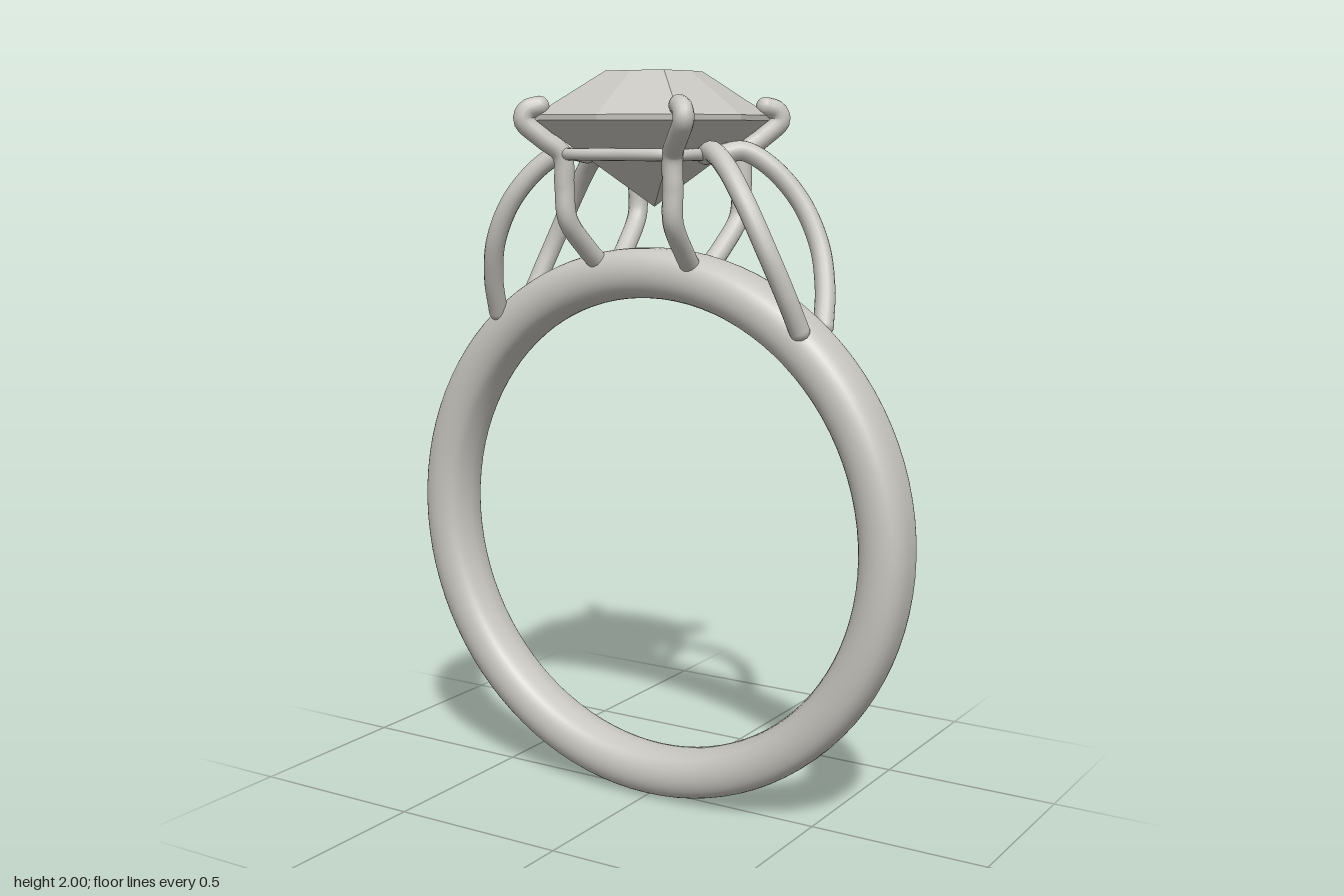
import * as THREE from 'three';

const metal = new THREE.MeshStandardMaterial({ color: 0xc8c6c0 });
metal.name = 'silver grey';

const v = (x, y, z) => new THREE.Vector3(x, y, z);

function add(parent, name, geometry) {
  const mesh = new THREE.Mesh(geometry, metal);
  mesh.name = name;
  parent.add(mesh);
  return mesh;
}

// Round wire through a list of points, with ball ends when open
function wire(parent, name, points, radius, closed = false) {
  const group = new THREE.Group();
  group.name = name;
  const curve = new THREE.CatmullRomCurve3(points, closed, 'centripetal');
  add(group, name + 'Wire', new THREE.TubeGeometry(curve, 56, radius, 14, closed));
  if (!closed) {
    for (const p of [points[0], points[points.length - 1]]) {
      add(group, name + 'End', new THREE.SphereGeometry(radius, 14, 10)).position.copy(p);
    }
  }
  parent.add(group);
}

// Finger band: rounded section revolved, slightly narrower at the bottom
function bandGeometry() {
  const half = [[0.632, 0], [0.637, 0.035], [0.651, 0.066], [0.68, 0.083],
    [0.715, 0.085], [0.747, 0.071], [0.764, 0.043], [0.768, 0]];
  const section = [
    ...half.map(([r, y]) => v(r, -y, 0)),
    ...half.slice(1, -1).reverse().map(([r, y]) => v(r, y, 0)),
  ];
  const profile = new THREE.CatmullRomCurve3(section, true, 'centripetal')
    .getPoints(42).map((p) => new THREE.Vector2(p.x, p.y));
  const geometry = new THREE.LatheGeometry(profile, 96);
  geometry.rotateX(Math.PI / 2);
  const pos = geometry.attributes.position;
  for (let i = 0; i < pos.count; i++) {
    pos.setZ(i, pos.getZ(i) * (0.95 + 0.09 * pos.getY(i)));
  }
  return geometry.translate(0, 0.768, 0);
}

// Cushion-cut stone: one eight-point outline scaled at several heights
function stoneGeometry() {
  const outline = [[0.262, 0], [0.218, 0.238], [0, 0.277], [-0.218, 0.238],
    [-0.262, 0], [-0.218, -0.238], [0, -0.277], [0.218, -0.238]];
  const levels = [[2, 0], [2, 0.415], [1.886, 1], [1.872, 1], [1.645, 0]];
  const corner = ([y, s], i) => {
    const [x, z] = outline[i % 8];
    return [x * s, y, z * s];
  };
  const data = [];
  for (let k = 0; k < levels.length - 1; k++) {
    const up = levels[k], low = levels[k + 1];
    for (let i = 0; i < 8; i++) {
      if (up[1] > 0) data.push(...corner(low, i), ...corner(up, i), ...corner(up, i + 1));
      if (low[1] > 0) data.push(...corner(low, i), ...corner(up, i + 1), ...corner(low, i + 1));
    }
  }
  const geometry = new THREE.BufferGeometry();
  geometry.setAttribute('position', new THREE.Float32BufferAttribute(data, 3));
  geometry.computeVertexNormals();
  return geometry;
}

export function createModel() {
  const ring = new THREE.Group();
  ring.name = 'ring';

  add(ring, 'band', bandGeometry());
  add(ring, 'stone', stoneGeometry());

  // Thin gallery rail joining the prongs under the stone
  wire(ring, 'galleryRail', [
    v(0.185, 1.785, 0), v(0.168, 1.785, 0.182), v(0, 1.785, 0.2), v(-0.168, 1.785, 0.182),
    v(-0.185, 1.785, 0), v(-0.168, 1.785, -0.182), v(0, 1.785, -0.2), v(0.168, 1.785, -0.182),
  ], 0.016, true);

  for (const sx of [1, -1]) {
    for (const sz of [1, -1]) {
      // Corner prong: rises from the band, flares out and hooks over the stone
      wire(ring, 'prong', [
        [0.146, 1.5, 0.06], [0.152, 1.535, 0.1], [0.163, 1.615, 0.172], [0.167, 1.7, 0.18],
        [0.17, 1.785, 0.187], [0.205, 1.825, 0.222], [0.243, 1.872, 0.255],
        [0.236, 1.898, 0.248], [0.213, 1.908, 0.226],
      ].map(([x, y, z]) => v(x * sx, y, z * sz)), 0.027);

      // Shoulder loop: bows out from the band up to the gallery rail
      wire(ring, 'shoulderLoop', [
        [0.475, 1.345, 0.068], [0.456, 1.44, 0.112], [0.42, 1.55, 0.146], [0.36, 1.665, 0.147],
        [0.285, 1.755, 0.115], [0.225, 1.793, 0.08], [0.185, 1.785, 0.045],
      ].map(([x, y, z]) => v(x * sx, y, z * sz)), 0.027);
    }
  }
  return ring;
}
